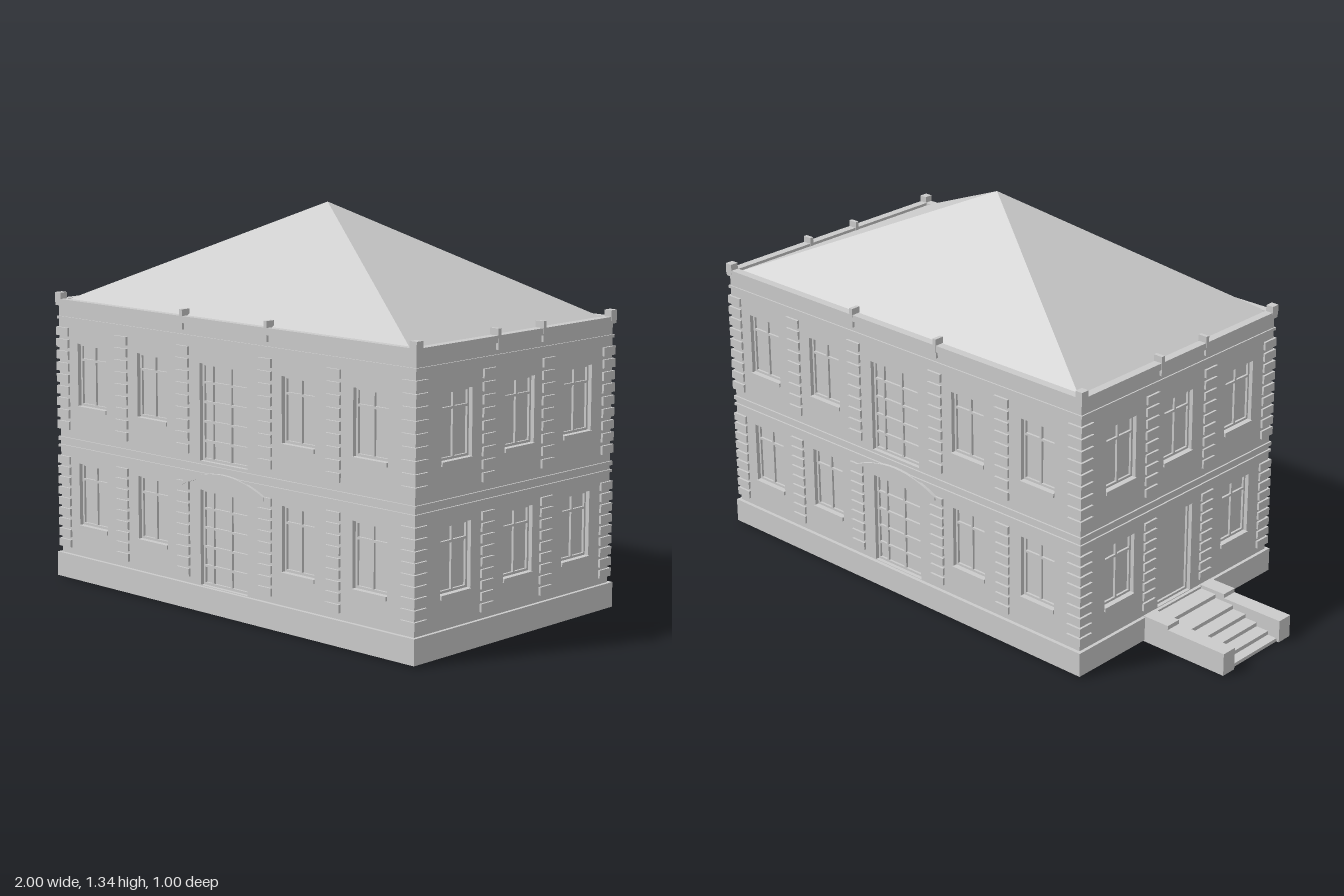
import * as THREE from 'three';
import { mergeGeometries } from 'three/addons/utils/BufferGeometryUtils.js';

const material = new THREE.MeshStandardMaterial({ color: 0xcccccc, flatShading: true });
const CX = 0.165;          // centre of the house along x
const HX = 0.82, HZ = 0.487; // half sizes to the wall faces
const WALL = 0.022, RELIEF = 0.008;

// Box given by its limits
function box(x0, x1, y0, y1, z0, z1) {
  return new THREE.BoxGeometry(x1 - x0, y1 - y0, z1 - z0)
    .translate((x0 + x1) / 2, (y0 + y1) / 2, (z0 + z1) / 2);
}

function part(name, geometries) {
  const mesh = new THREE.Mesh(mergeGeometries(geometries), material);
  mesh.name = name;
  return mesh;
}

function rectHole(o) {
  const p = new THREE.Path();
  p.moveTo(o.x - o.w / 2, o.y0);
  p.lineTo(o.x - o.w / 2, o.y1);
  p.lineTo(o.x + o.w / 2, o.y1);
  p.lineTo(o.x + o.w / 2, o.y0);
  p.closePath();
  return p;
}

// Frame and glazing bars inside one opening, set back from the wall face
function glazing(o) {
  const l = o.x - o.w / 2, r = o.x + o.w / 2, t = 0.008;
  const z0 = -WALL, z1 = -WALL + 0.008;
  const bars = [
    box(l, l + t, o.y0, o.y1, z0, z1), box(r - t, r, o.y0, o.y1, z0, z1),
    box(l, r, o.y1 - t, o.y1, z0, z1), box(l, r, o.y0, o.y0 + t, z0, z1),
  ];
  if (o.kind === 'panel') return bars;
  if (o.kind === 'door') {
    for (const x of [l + 0.045, o.x + 0.02]) bars.push(box(x - t / 2, x + t / 2, o.y0, o.y1, z0, z1));
    for (let i = 1; i < 5; i++) {
      const y = o.y0 + (o.y1 - o.y0) * i / 5;
      bars.push(box(l, r, y - t / 2, y + t / 2, z0, z1));
    }
  } else {
    const y = o.y0 + (o.y1 - o.y0) * 0.74;
    bars.push(box(o.x - t / 2, o.x + t / 2, o.y0, o.y1, z0, z1));
    bars.push(box(l, r, y - t / 2, y + t / 2, z0, z1));
  }
  return bars;
}

// Low curved moulding over the ground floor door
function archMoulding(x) {
  const s = new THREE.Shape();
  s.moveTo(x - 0.19, 0.422);
  s.quadraticCurveTo(x, 0.512, x + 0.19, 0.422);
  s.lineTo(x + 0.19, 0.434);
  s.quadraticCurveTo(x, 0.526, x - 0.19, 0.434);
  s.closePath();
  return new THREE.ExtrudeGeometry(s, { depth: RELIEF + 0.003, bevelEnabled: false, curveSegments: 14 });
}

// One wall, outer face on local z = 0, looking along +z
function facade(name, { half, wallHalf, openings, strips, posts, arch }) {
  const group = new THREE.Group();
  group.name = name;

  const shape = new THREE.Shape();
  shape.moveTo(-wallHalf, 0.08);
  shape.lineTo(wallHalf, 0.08);
  shape.lineTo(wallHalf, 0.985);
  shape.lineTo(-wallHalf, 0.985);
  shape.closePath();
  shape.holes = openings.map(rectHole);
  const wall = new THREE.ExtrudeGeometry(shape, { depth: WALL, bevelEnabled: false }).translate(0, 0, -WALL);
  group.add(part('wall', [wall]));
  group.add(part('windowFrames', openings.flatMap(glazing)));

  const sills = openings.filter(o => o.kind === 'window')
    .map(o => box(o.x - o.w / 2, o.x + o.w / 2, o.y0 - 0.014, o.y0, -0.01, 0.006));
  group.add(part('windowSills', sills));

  // Stacked stone courses at the corners and between the bays
  const stones = [];
  const edge = half + RELIEF;
  const columns = [[-edge, -edge + 0.06], [edge - 0.06, edge], ...strips.map(x => [x - 0.03, x + 0.03])];
  for (const [x0, x1] of columns) {
    for (let i = 0; i < 9; i++) {
      const low = 0.112 + i * 0.037, high = 0.53 + i * 0.041;
      stones.push(box(x0, x1, low, low + 0.027, -0.005, RELIEF));
      stones.push(box(x0, x1, high, high + 0.029, -0.005, RELIEF));
    }
  }
  group.add(part('stoneCourses', stones));

  // Floor band, frieze line and cornice
  const bands = [[0.465, 0.474, 0.006], [0.488, 0.502, 0.006], [0.915, 0.925, 0.005], [0.962, 0.985, RELIEF]]
    .map(([y0, y1, d]) => box(-half - d, half + d, y0, y1, -0.01, d));
  group.add(part('bands', bands));
  if (arch !== undefined) group.add(part('archMoulding', [archMoulding(arch)]));

  group.add(part('parapetPosts', posts.map(x => box(x - 0.007, x + 0.007, 0.94, 1.007, -0.025, RELIEF + 0.001))));
  return group;
}

// Two storeys of openings for a list of bay centres
function bays(centres, isDoor, groundPanel) {
  return centres.flatMap((x, i) => {
    const door = isDoor(i);
    const list = door
      ? [{ x, w: 0.22, y0: 0.092, y1: 0.415, kind: 'door' }, { x, w: 0.22, y0: 0.512, y1: 0.837, kind: 'door' }]
      : [{ x, w: 0.145, y0: 0.2, y1: 0.417, kind: 'window' }, { x, w: 0.145, y0: 0.62, y1: 0.837, kind: 'window' }];
    if (groundPanel === i) list[0] = { x, w: 0.17, y0: 0.092, y1: 0.417, kind: 'panel' };
    return list;
  });
}

// Entrance steps between two low stepped side walls
function entranceSteps() {
  const group = new THREE.Group();
  group.name = 'entranceSteps';
  const sides = [[0.122, 0.18], [-0.174, -0.116]].flatMap(([z0, z1]) => [
    box(-1, -0.66, 0, 0.08, z0, z1),
    box(-0.765, -0.66, 0.075, 0.095, z0, z1),
  ]);
  group.add(part('sideWalls', sides));
  const edges = [-0.99, -0.954, -0.906, -0.858, -0.805, -0.73, -0.66];
  const treads = [];
  for (let i = 0; i < 6; i++) {
    const top = 0.012 + i * 0.014;
    treads.push(box(edges[i], edges[i + 1], top - 0.012, top, -0.118, 0.124));
    treads.push(box(edges[i], edges[i] + 0.01, Math.max(0, top - 0.028), top, -0.118, 0.124));
  }
  group.add(part('treads', treads));
  return group;
}

export function createModel() {
  const model = new THREE.Group();
  model.name = 'house';
  const house = new THREE.Group();
  house.name = 'building';
  house.position.x = CX;
  model.add(house, entranceSteps());

  // Plinth and inner core, whose sides serve as the window panes
  house.add(part('plinth', [box(-0.832, 0.832, 0.005, 0.09, -0.5, 0.5)]));
  house.add(part('core', [box(-HX + WALL, HX - WALL, 0.05, 0.975, -HZ + WALL, HZ - WALL)]));

  // Long walls
  const long = {
    half: HX, wallHalf: HX, openings: bays([-0.652, -0.35, -0.01, 0.328, 0.636], i => i === 2),
    strips: [-0.5, -0.2, 0.182, 0.482], posts: [-0.2, 0.19], arch: -0.008,
  };
  const front = facade('frontWall', long);
  front.position.z = HZ;
  const back = facade('backWall', long);
  back.position.z = -HZ;
  back.rotation.y = Math.PI;

  // End walls; the entrance is on one of them
  const end = panel => ({
    half: HZ, wallHalf: HZ - WALL, openings: bays([-0.295, 0.01 - 0.02 * (panel === 1), 0.307], () => false, panel),
    strips: [-0.145, 0.15], posts: [-0.105, 0.12],
  });
  const left = facade('leftWall', end(-1));
  left.position.x = HX;
  left.rotation.y = Math.PI / 2;
  const right = facade('rightWall', end(1));
  right.position.x = -HX;
  right.rotation.y = -Math.PI / 2;
  house.add(front, back, left, right);

  // Corner blocks on the parapet
  const corners = [];
  for (const sx of [-1, 1]) for (const sz of [-1, 1]) {
    corners.push(box(-0.014, 0.014, 0.972, 1.007, -0.015, 0.015).translate(sx * 0.815, 0, sz * 0.481));
  }
  house.add(part('cornerBlocks', corners));

  // Four-sided roof
  const roof = new THREE.ConeGeometry(Math.SQRT2, 0.365, 4)
    .rotateY(Math.PI / 4).scale(0.8, 1, 0.48).translate(-0.003, 0.975 + 0.1825, 0.003);
  house.add(part('roof', [roof]));

  return model;
}
